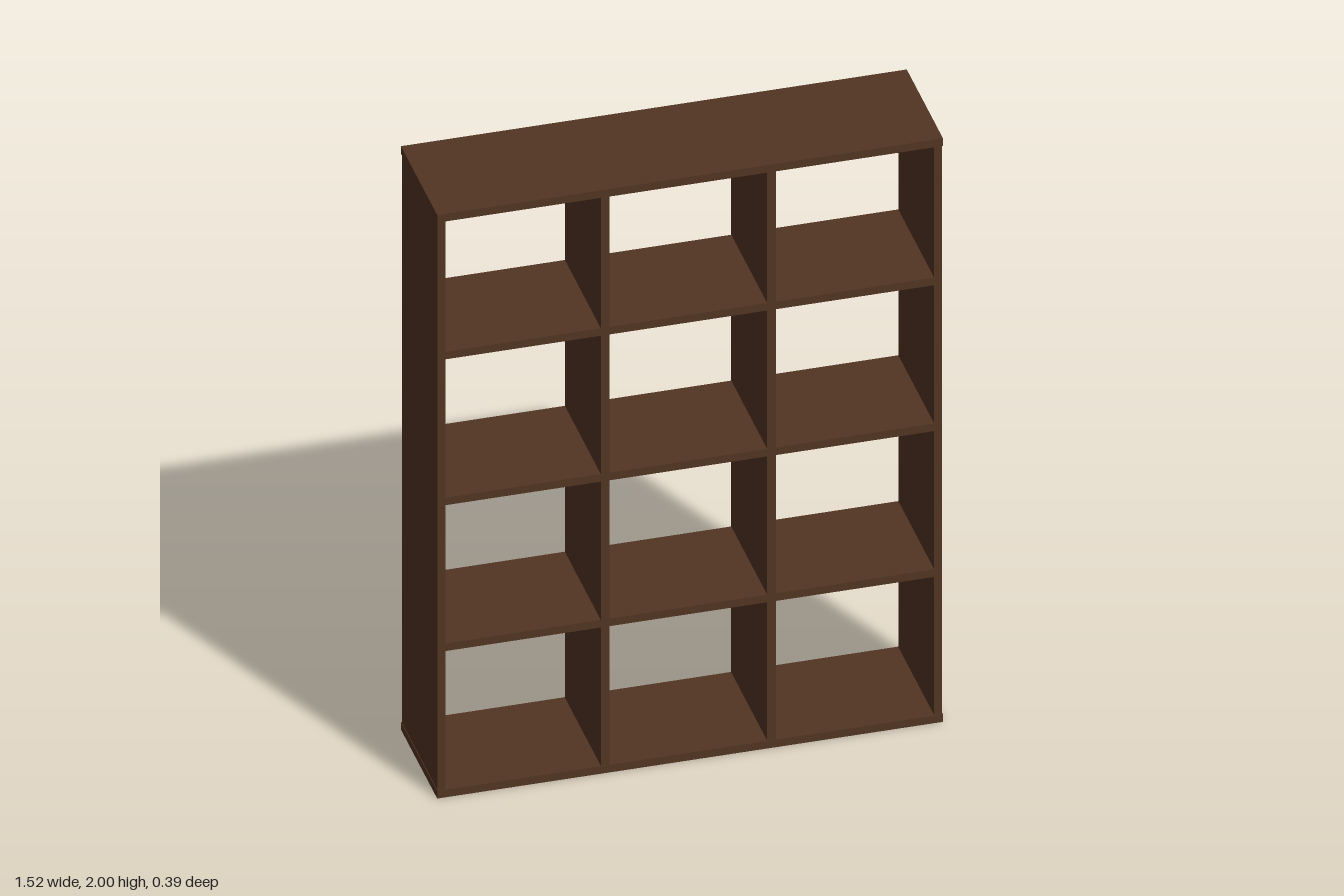
import * as THREE from 'three';

export function createModel() {
  const group = new THREE.Group();
  const wood = new THREE.MeshStandardMaterial({ color: 0x533523 });
  wood.name = 'darkWood';

  const W = 1.52, H = 2, D = 0.386, T = 0.026;

  const board = (name, w, h, d, x, y) => {
    const mesh = new THREE.Mesh(new THREE.BoxGeometry(w, h, d), wood);
    mesh.name = name;
    mesh.position.set(x, y, 0);
    group.add(mesh);
  };

  // Top and bottom boards cap the uprights
  board('topBoard', W, T, D, 0, H - T / 2);
  board('bottomBoard', W, T, D, 0, T / 2);

  // Side panels, set in a hair from the cap boards
  const inset = 0.002;
  for (const [name, s] of [['leftSide', 1], ['rightSide', -1]]) {
    board(name, T - inset, H - 2 * T, D - 2 * inset, s * (W / 2 - T / 2 - inset / 2), H / 2);
  }

  // Shelves run between the side panels
  [0.513, 1.013, 1.513].forEach((y, i) => {
    board(`shelf${i + 1}`, W - 2 * T, T, D - 2 * inset, 0, y);
  });

  // Upright dividers, one length per row so they butt against the shelves
  const levels = [T / 2, 0.513, 1.013, 1.513, H - T / 2];
  for (let r = 0; r < 4; r++) {
    const h = levels[r + 1] - levels[r] - T;
    const y = (levels[r + 1] + levels[r]) / 2;
    [-0.255, 0.245].forEach((x, c) => {
      board(`divider${r + 1}_${c + 1}`, T, h, D - 2 * inset, x, y);
    });
  }
  return group;
}
